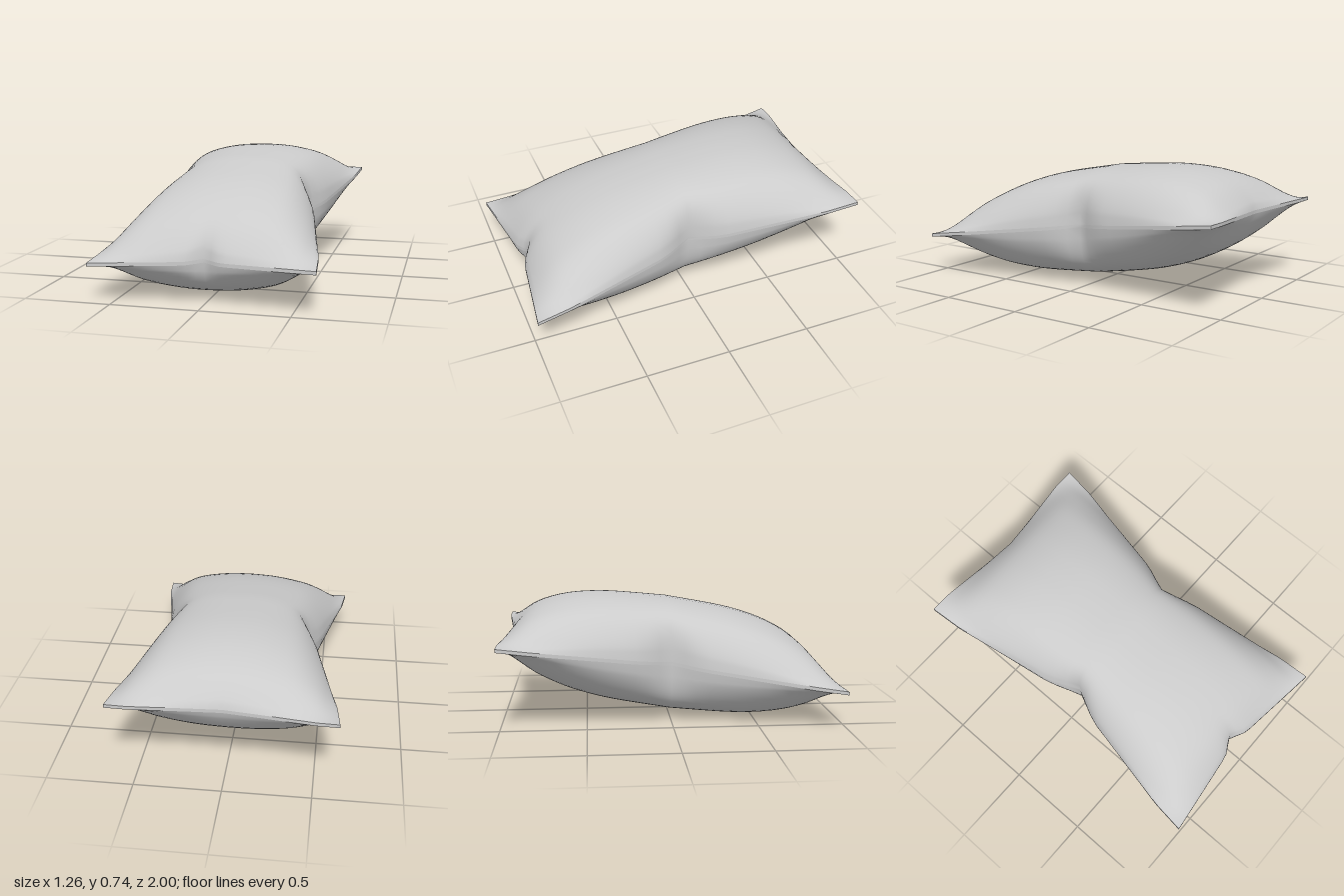
import * as THREE from 'three';

const SEG = 40, RIM = 0.01, BULGE = 0.325;

// piecewise linear lookup through [position, value] pairs
function lookup(points, t) {
  for (let i = 1; i < points.length; i++) {
    const [a, va] = points[i - 1], [b, vb] = points[i];
    if (t <= b) return va + (vb - va) * (t - a) / (b - a);
  }
  return points[points.length - 1][1];
}

// finely sampled smooth curve through [position, value] pairs
function smooth(pairs) {
  const curve = new THREE.SplineCurve(pairs.map(([a, b]) => new THREE.Vector2(a, b)));
  return curve.getPoints(120).map((p) => [p.x, p.y]);
}

// stuffing height across the width and along the length, from the middle outward
const across = smooth([[0, 1], [0.13, 0.98], [0.26, 0.91], [0.39, 0.79], [0.5, 0.56], [0.57, 0.3], [0.63, 0.06]]);
const along = smooth([[0, 1], [0.3, 0.955], [0.46, 0.9], [0.62, 0.79], [0.78, 0.6], [0.88, 0.4], [1, 0.05]]);

// outline of the seam
const sideWidth = [[0, 0.465], [0.18, 0.485], [0.8, 0.61], [1, 0.63]];
const frontEnd = [[0, 0.88], [0.1, 0.935], [0.5, 0.985], [0.62, 1]];
const backEnd = [[0, 0.945], [0.2, 0.965], [0.5, 1], [0.62, 1]];

// point of the cushion for u, v in -1..1; side is +1 for the top, -1 for the bottom
function cushionPoint(u, v, side) {
  const end = lookup(v > 0 ? frontEnd : backEnd, Math.abs(u) * 0.62);
  const z = v * (1 - (1 - end) * v ** 4);
  // the long seams are pinched in at the middle
  const pinch = 0.07 * Math.max(0, 1 - Math.abs(z) / 0.18);
  const x = u * (lookup(sideWidth, Math.abs(z)) - pinch * u ** 4);
  const seam = 0.375 - 0.14 * z + 0.022 * x;
  // the cloth turns steeply down to the seam wherever the stuffing is thick
  const edge = Math.sqrt(Math.max(0, (1 - u ** 6) * (1 - v ** 12)));
  const dome = lookup(across, Math.abs(x)) * lookup(along, Math.abs(z));
  return new THREE.Vector3(x, seam + side * (RIM + BULGE * dome * edge), z);
}

// grid spacing that gets finer toward the seam
const spread = (t) => 0.2 * t + 0.8 * Math.sin(t * Math.PI / 2);

function sheet(side, material) {
  const geometry = new THREE.PlaneGeometry(2, 2, SEG, SEG).rotateX(-side * Math.PI / 2);
  const pos = geometry.attributes.position;
  for (let i = 0; i < pos.count; i++) {
    const p = cushionPoint(spread(pos.getX(i)), spread(pos.getZ(i)), side);
    pos.setXYZ(i, p.x, p.y, p.z);
  }
  geometry.computeVertexNormals();
  return new THREE.Mesh(geometry, material);
}

// narrow band that joins the two sheets all round
function seamBand(material) {
  const positions = [], index = [];
  const corners = [[-1, 1], [1, 1], [1, -1], [-1, -1]];
  corners.forEach(([u0, v0], c) => {
    const [u1, v1] = corners[(c + 1) % 4];
    for (let i = 0; i < SEG; i++) {
      const t = i / SEG;
      const u = spread(u0 + (u1 - u0) * t), v = spread(v0 + (v1 - v0) * t);
      positions.push(...cushionPoint(u, v, -1), ...cushionPoint(u, v, 1));
    }
  });
  const n = SEG * 4;
  for (let i = 0; i < n; i++) {
    const a = i * 2, b = ((i + 1) % n) * 2;
    index.push(a, b, b + 1, a, b + 1, a + 1);
  }
  const geometry = new THREE.BufferGeometry();
  geometry.setAttribute('position', new THREE.Float32BufferAttribute(positions, 3));
  geometry.setIndex(index);
  geometry.computeVertexNormals();
  return new THREE.Mesh(geometry, material);
}

export function createModel() {
  const group = new THREE.Group();
  group.name = 'pillow';
  const material = new THREE.MeshStandardMaterial({ color: 0xcccccc, side: THREE.DoubleSide });
  const top = sheet(1, material);
  top.name = 'pillowTop';
  const bottom = sheet(-1, material);
  bottom.name = 'pillowBottom';
  const seam = seamBand(material);
  seam.name = 'pillowSeam';
  group.add(top, bottom, seam);
  return group;
}
